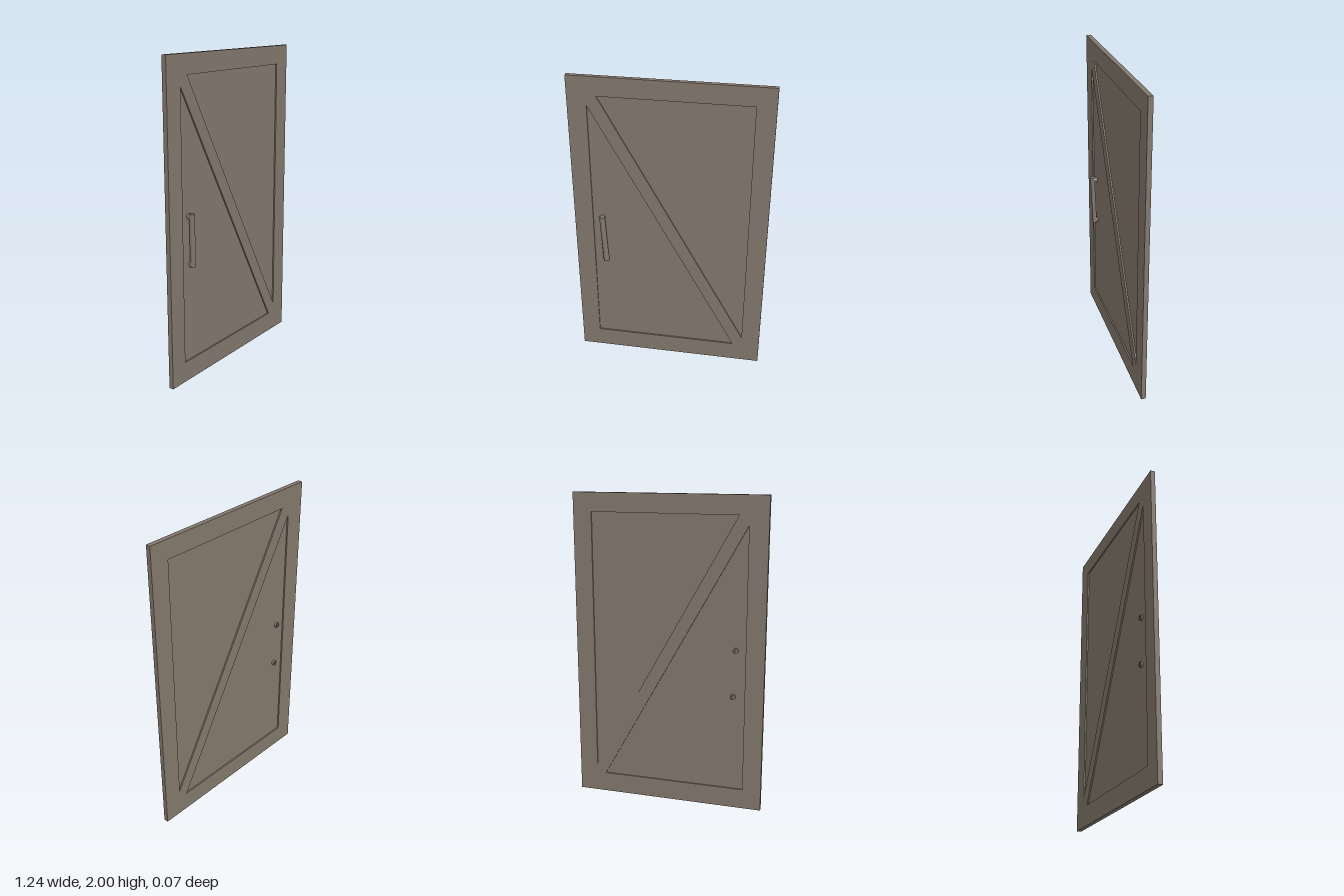
import * as THREE from 'three';

const FRONT = 0, BACK = -0.03;

function polygon(points, Type = THREE.Shape) {
  return new Type(points.map(([x, y]) => new THREE.Vector2(x, y)));
}

export function createModel() {
  const door = new THREE.Group();
  door.name = 'door';
  const wood = new THREE.MeshStandardMaterial({ color: 0x82786c });
  wood.name = 'greyBrown';

  const add = (name, geometry, parent = door) => {
    const mesh = new THREE.Mesh(geometry, wood);
    mesh.name = name;
    parent.add(mesh);
    return mesh;
  };

  // Frame with a diagonal brace, leaving two triangular openings
  const frame = polygon([[-0.62, 0], [0.62, 0], [0.62, 2], [-0.62, 2]]);
  frame.holes.push(
    polygon([[-0.5, 1.82], [-0.5, 0.13], [0.44, 0.13]], THREE.Path),
    polygon([[-0.44, 1.88], [0.5, 1.88], [0.5, 0.19]], THREE.Path)
  );
  add('frame', new THREE.ExtrudeGeometry(frame, { depth: FRONT - BACK, bevelEnabled: false }))
    .position.z = BACK;

  // Thin panels filling the openings, recessed on both sides
  const names = ['lowerPanel', 'upperPanel'];
  frame.holes.forEach((hole, i) => {
    const panel = new THREE.Shape(hole.getPoints());
    add(names[i], new THREE.ExtrudeGeometry(panel, { depth: 0.012, bevelEnabled: false }))
      .position.z = -0.021;
  });

  // Pull handle: round-fronted bar, slightly slanted
  const handle = new THREE.Group();
  handle.name = 'handle';
  door.add(handle);
  const r = 0.0175, bottom = 0.735, top = 1.07;
  const profile = new THREE.Shape();
  profile.moveTo(-r, -0.007);
  profile.lineTo(r, -0.007);
  profile.absarc(0, 0, r, 0, Math.PI, false);
  const grip = new THREE.ExtrudeGeometry(profile, { depth: top - bottom, bevelEnabled: false, curveSegments: 12 });
  const p = grip.attributes.position;
  for (let i = 0; i < p.count; i++) {
    const t = p.getZ(i) / (top - bottom);
    p.setXYZ(i,
      THREE.MathUtils.lerp(0.423, 0.437, t) * -1 + p.getX(i) * -1,
      bottom + p.getZ(i),
      THREE.MathUtils.lerp(0.009, 0.0175, t) + p.getY(i));
  }
  grip.computeVertexNormals();
  add('grip', grip, handle);

  // Mounting posts through the panel, ending in hollow round heads at the back
  for (const [name, x, y, z] of [['upperPost', -0.436, 1.052, 0.02], ['lowerPost', -0.424, 0.752, 0.012]]) {
    const outline = [[0, z], [r, z], [r, -0.035], [0.011, -0.035], [0.011, -0.027], [0, -0.027]];
    // Double the rim points to keep the edges sharp
    const points = outline.flatMap(([a, b], i) => {
      const v = new THREE.Vector2(a, -b);
      return i > 0 && i < outline.length - 1 ? [v, v.clone()] : [v];
    });
    const post = new THREE.LatheGeometry(points, 20);
    post.rotateX(-Math.PI / 2);
    add(name, post, handle).position.set(x, y, 0);
    // Slot bar across the hollow head
    const bar = add(name + 'Slot', new THREE.BoxGeometry(0.022, 0.005, 0.006), handle);
    bar.position.set(x, y, -0.03);
  }

  return door;
}
